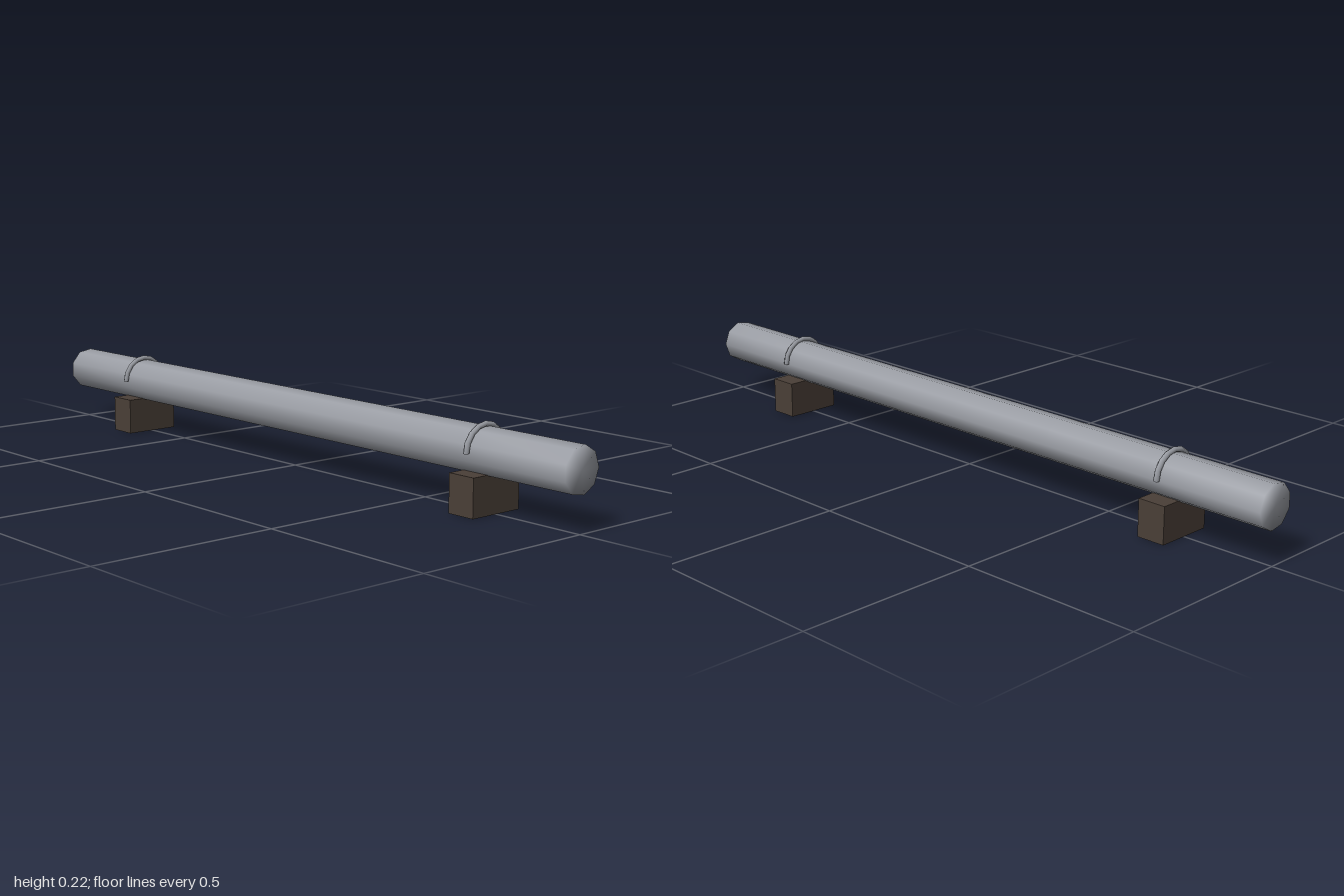
import * as THREE from 'three';
import { mergeVertices } from 'three/addons/utils/BufferGeometryUtils.js';

const AXIS_Y = 0.15; // height of the pipe's centre line
const SUPPORT_X = 0.7;

function material(name, color, side = THREE.FrontSide) {
  const m = new THREE.MeshStandardMaterial({ color, side });
  m.name = name;
  return m;
}

function part(name, geometry, mat, x, y) {
  const mesh = new THREE.Mesh(geometry, mat);
  mesh.name = name;
  mesh.position.set(x, y, 0);
  return mesh;
}

// Nine-sided pipe along x, smooth shaded right over the rims of its end caps
function pipeGeometry() {
  const g = new THREE.CylinderGeometry(0.06, 0.06, 2, 9, 6);
  g.rotateX(Math.PI); // puts a corner edge at the back
  g.rotateZ(Math.PI / 2);
  g.deleteAttribute('uv');
  g.deleteAttribute('normal');
  const merged = mergeVertices(g, 1e-4);
  merged.computeVertexNormals();
  return merged;
}

export function createModel() {
  const group = new THREE.Group();
  group.name = 'pipeOnSupports';
  const steel = material('grey steel', 0x9a9da4, THREE.DoubleSide);
  const wood = material('dark wood', 0x4a3f37);

  group.add(part('pipe', pipeGeometry(), steel, 0, AXIS_Y));

  // Support block with a half-ring clamp over the pipe, at each end
  const blockGeometry = new THREE.BoxGeometry(0.08, 0.1, 0.16);
  const clampGeometry = new THREE.TorusGeometry(0.065, 0.0075, 6, 8, Math.PI);
  clampGeometry.rotateY(Math.PI / 2);
  for (const [side, s] of [['left', 1], ['right', -1]]) {
    group.add(part(side + 'SupportBlock', blockGeometry, wood, s * SUPPORT_X, 0.05));
    group.add(part(side + 'Clamp', clampGeometry, steel, s * SUPPORT_X, AXIS_Y));
  }
  return group;
}
